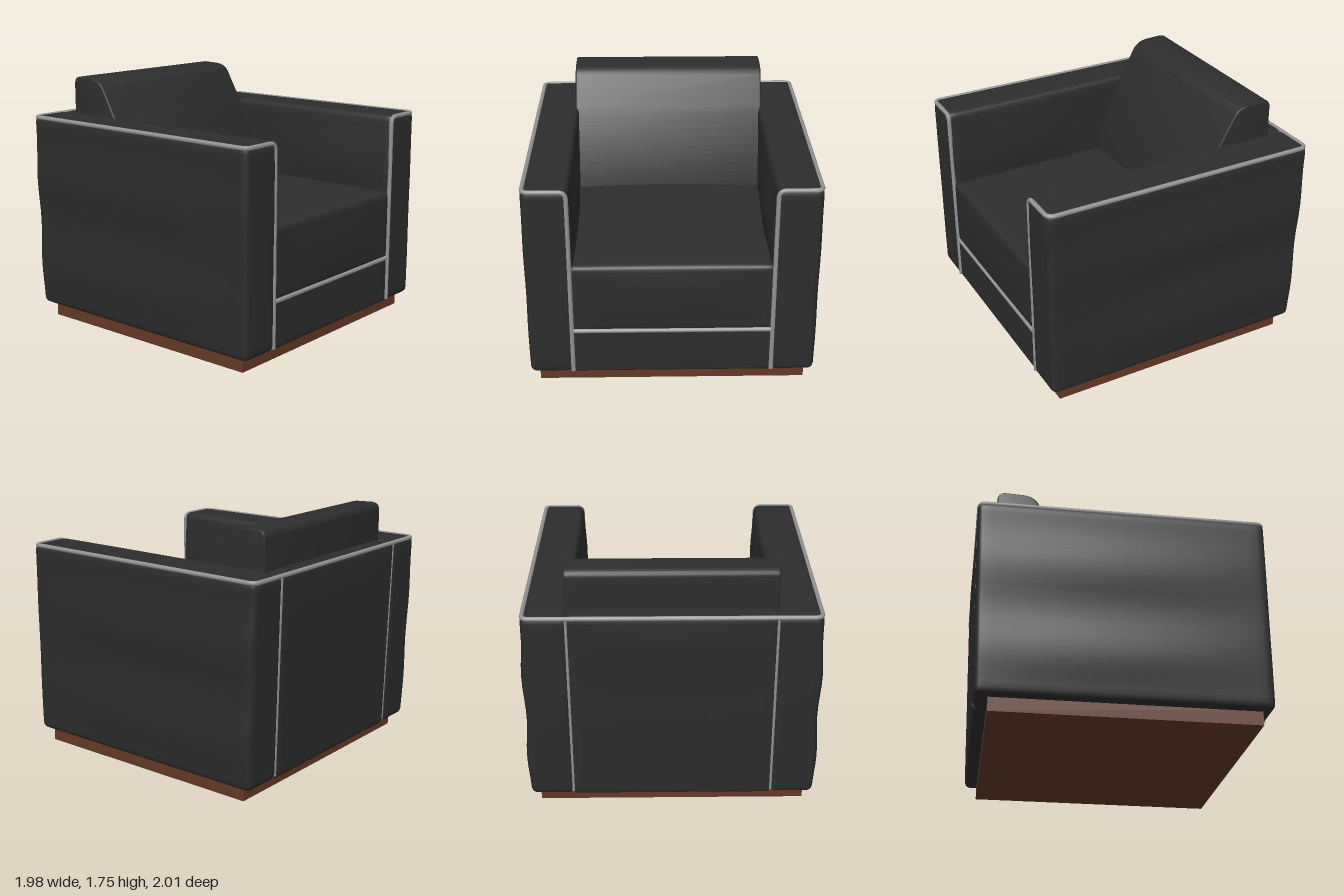
import * as THREE from 'three';
import { mergeVertices, toCreasedNormals } from 'three/addons/utils/BufferGeometryUtils.js';

const leather = new THREE.MeshStandardMaterial({ color: 0x2d2d2d });
leather.name = 'charcoal leather';
const piping = new THREE.MeshStandardMaterial({ color: 0x949494 });
piping.name = 'grey piping';
const wood = new THREE.MeshStandardMaterial({ color: 0x653927 });
wood.name = 'brown wood';

function add(parent, name, geometry, material) {
  const mesh = new THREE.Mesh(geometry, material);
  mesh.name = name;
  parent.add(mesh);
  return mesh;
}

// Soft box between two corners: rounded edges, then an optional warp of each vertex
function softBox(min, max, r, warp) {
  const n = 26;
  const geo = new THREE.BoxGeometry(2, 2, 2, n, n, n);
  geo.deleteAttribute('uv');
  geo.deleteAttribute('normal');
  const lo = new THREE.Vector3(...min), hi = new THREE.Vector3(...max);
  const innerLo = lo.clone().addScalar(r), innerHi = hi.clone().addScalar(-r);
  const pos = geo.attributes.position;
  const p = new THREE.Vector3(), core = new THREE.Vector3();
  // the sine crowds the grid lines towards the edges
  const place = (t, a, b) => (a + b) / 2 + Math.sin(t * Math.PI / 2) * (b - a) / 2;
  for (let i = 0; i < pos.count; i++) {
    p.set(place(pos.getX(i), lo.x, hi.x), place(pos.getY(i), lo.y, hi.y), place(pos.getZ(i), lo.z, hi.z));
    core.copy(p).clamp(innerLo, innerHi);
    p.sub(core);
    const reach = Math.max(Math.abs(p.x), Math.abs(p.y), Math.abs(p.z));
    if (reach > 0) p.setLength(reach);
    p.add(core);
    if (warp) warp(p);
    pos.setXYZ(i, p.x, p.y, p.z);
  }
  const merged = mergeVertices(geo, 1e-5);
  merged.computeVertexNormals();
  return merged;
}

// Tube along straight runs joined by small rounded corners
function pipe(points, radius, corner, segments) {
  const pts = points.map((q) => new THREE.Vector3(...q));
  const path = new THREE.CurvePath();
  let from = pts[0];
  for (let i = 1; i < pts.length - 1; i++) {
    const a = pts[i].clone().add(pts[i - 1].clone().sub(pts[i]).setLength(corner));
    const b = pts[i].clone().add(pts[i + 1].clone().sub(pts[i]).setLength(corner));
    path.add(new THREE.LineCurve3(from, a));
    path.add(new THREE.QuadraticBezierCurve3(a, pts[i], b));
    from = b;
  }
  path.add(new THREE.LineCurve3(from, pts[pts.length - 1]));
  return new THREE.TubeGeometry(path, segments, radius, 8);
}

// The back leans out slightly towards the top
const lean = (p) => {
  if (p.x < 0) p.x += 0.04 * (1 - p.y / 1.48) * Math.min(1, -p.x);
};

// Padded arm: two soft swells outside, one inside above the seat
function armWarp(side) {
  return (p) => {
    const z = p.z * side;
    if (z > 0.82) {
      const swell = p.y < 1.34 ? (1 - Math.cos(2 * Math.PI * (p.y - 0.1) / 0.62)) / 2 : 0;
      p.z += side * 0.028 * swell * Math.max(0, Math.cos((p.x + 0.2) * 1.25)) * (z - 0.82) / 0.155;
    } else {
      const swell = Math.exp(-(((p.x - 0.5) / 0.5) ** 2) - (((p.y - 1.12) / 0.25) ** 2));
      p.z -= side * 0.04 * swell * (0.82 - z) / 0.15;
    }
    lean(p);
  };
}

export function createModel() {
  const chair = new THREE.Group();
  chair.name = 'armchair';

  // Plinth
  const plinth = add(chair, 'plinth', new THREE.BoxGeometry(1.77, 0.11, 1.83), wood);
  plinth.position.set(0.025, 0.055, 0);

  // Arms
  for (const side of [1, -1]) {
    const z = [0.67 * side, 0.975 * side].sort((a, b) => a - b);
    add(chair, side > 0 ? 'leftArm' : 'rightArm',
      softBox([-0.985, 0.095, z[0]], [0.985, 1.485, z[1]], 0.045, armWarp(side)), leather);
  }

  // Back panel, slightly puffed near the top
  add(chair, 'backPanel', softBox([-0.985, 0.095, -0.685], [-0.6, 1.48, 0.685], 0.03, (p) => {
    const puff = Math.exp(-(((p.y - 1.28) / 0.15) ** 2)) * Math.cos(p.z * 2.2);
    if (p.x < -0.9) p.x -= 0.014 * puff;
    lean(p);
  }), leather);

  // Seat base and seat cushion
  add(chair, 'seatBase', softBox([-0.9, 0.095, -0.69], [0.975, 0.44, 0.69], 0.025), leather);
  add(chair, 'seatCushion', softBox([-0.85, 0.42, -0.69], [0.975, 0.925, 0.69], 0.04, (p) => {
    const across = Math.cos(p.z * 2.2);
    if (p.y > 0.85) p.y += 0.02 * across * Math.cos(p.x * 1.4);
    if (p.x > 0.9) p.x += 0.015 * across * Math.sin((p.y - 0.42) / 0.505 * Math.PI);
  }), leather);

  // Wedge-shaped back cushion
  const wedge = new THREE.Shape();
  wedge.moveTo(-0.85, 0.85);
  wedge.lineTo(-0.21, 0.85);
  wedge.quadraticCurveTo(-0.28, 1.18, -0.45, 1.49);
  wedge.lineTo(-0.565, 1.69);
  wedge.quadraticCurveTo(-0.6, 1.74, -0.67, 1.745);
  wedge.lineTo(-0.79, 1.75);
  wedge.quadraticCurveTo(-0.85, 1.75, -0.85, 1.69);
  wedge.closePath();
  const cushion = new THREE.ExtrudeGeometry(wedge, {
    depth: 1.364, curveSegments: 10, bevelEnabled: true,
    bevelSize: 0.012, bevelThickness: 0.012, bevelOffset: -0.012, bevelSegments: 3,
  });
  cushion.translate(0, 0, -0.682);
  add(chair, 'backCushion', toCreasedNormals(cushion, 0.7), leather);

  // Edge piping: up one arm front, round the top and down the other arm front
  const half = [[0.974, 0.11, 0.68], [0.974, 1.473, 0.68], [0.974, 1.473, 0.962], [-0.974, 1.473, 0.962]];
  const mirrored = half.map(([x, y, z]) => [x, y, -z]).reverse();
  add(chair, 'edgePiping', pipe([...half, ...mirrored], 0.016, 0.05, 600), piping);

  // Seam piping across the seat front and down the back
  add(chair, 'seatPiping', pipe([[0.972, 0.428, -0.67], [0.972, 0.428, 0.67]], 0.016, 0, 8), piping);
  for (const z of [0.68, -0.68]) {
    add(chair, 'backSeamPiping', pipe([[-0.974, 1.47, z], [-0.936, 0.12, z]], 0.011, 0, 8), piping);
  }
  return chair;
}
